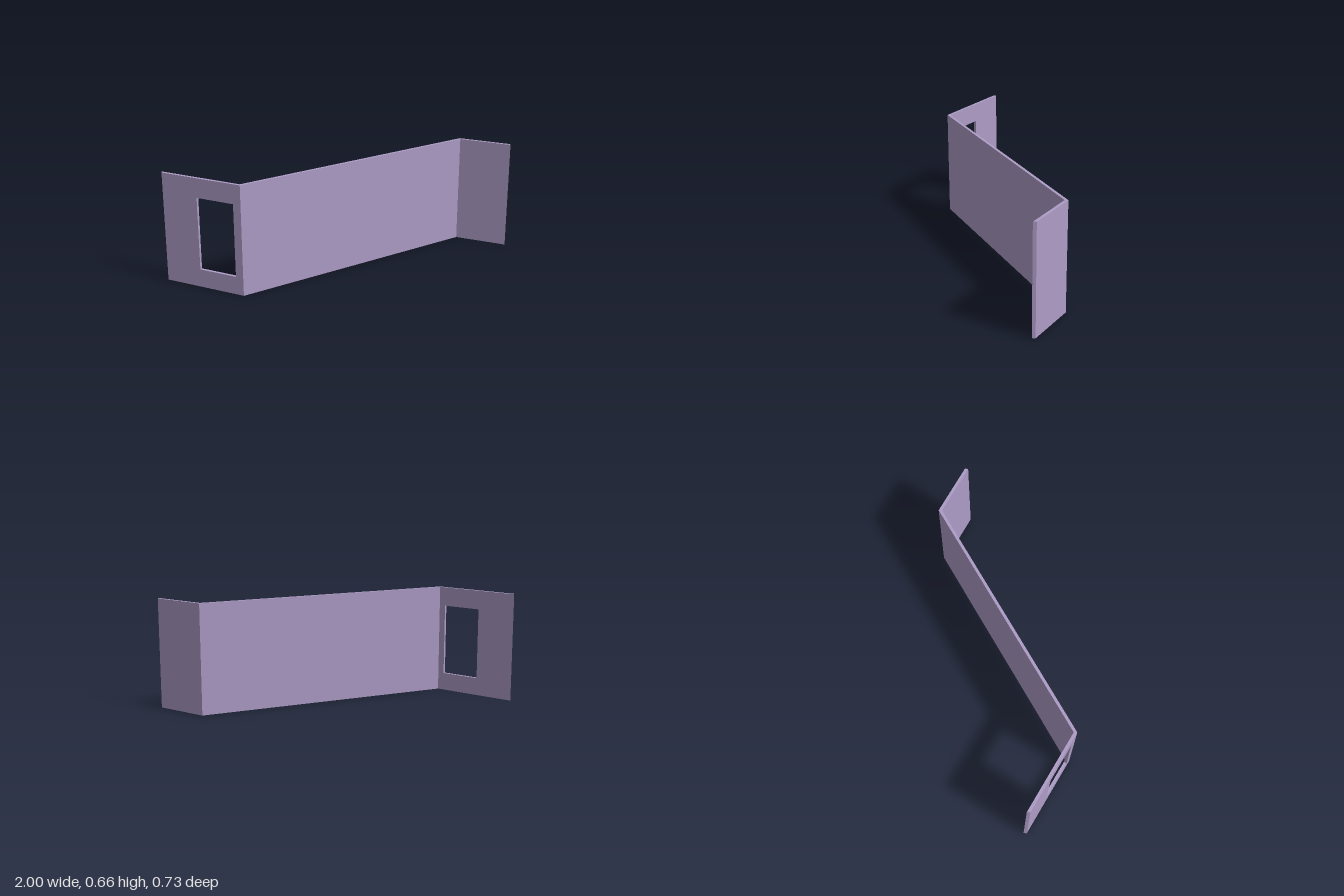
import * as THREE from 'three';

const HEIGHT = 0.659;
// Step from the back line to the front line, shared by mitres and end cuts
const STEP = new THREE.Vector2(-0.01, 0.017);

// Upright wall panel between two plan points (x, z) on its back line
function panel(name, a, b, material, opening) {
  const dir = b.clone().sub(a);
  const length = dir.length();
  dir.normalize();
  const thickness = dir.cross(STEP);
  const skew = dir.dot(STEP);

  const shape = new THREE.Shape([
    new THREE.Vector2(0, 0), new THREE.Vector2(length, 0),
    new THREE.Vector2(length, HEIGHT), new THREE.Vector2(0, HEIGHT),
  ]);
  if (opening) {
    const { u0, u1, y0, y1 } = opening;
    shape.holes.push(new THREE.Path([
      new THREE.Vector2(u0, y0), new THREE.Vector2(u0, y1),
      new THREE.Vector2(u1, y1), new THREE.Vector2(u1, y0),
    ]));
  }
  const geometry = new THREE.ExtrudeGeometry(shape, { depth: thickness, bevelEnabled: false });

  // Slant both ends so neighbouring panels meet in a mitre
  const p = geometry.attributes.position;
  for (let i = 0; i < p.count; i++) {
    const u = p.getX(i);
    const atEnd = u < 1e-4 || u > length - 1e-4;
    if (atEnd && p.getZ(i) > thickness / 2) p.setX(i, u + skew);
  }
  geometry.computeVertexNormals();

  const mesh = new THREE.Mesh(geometry, material);
  mesh.name = name;
  mesh.position.set(a.x, 0, a.y);
  mesh.rotation.y = Math.atan2(-dir.y, dir.x);
  return mesh;
}

export function createModel() {
  const group = new THREE.Group();
  group.name = 'foldedWall';
  const material = new THREE.MeshStandardMaterial({ color: 0xad9cc6 });

  // Plan corners of the back line, from the right end to the left end
  const [a, b, c, d] = [[-0.99, -0.366], [-0.735, 0.078], [0.83, 0.078], [1, 0.349]]
    .map(([x, z]) => new THREE.Vector2(x, z));

  const windowOpening = { u0: 0.237, u1: 0.474, y0: 0.108, y1: 0.543 };
  group.add(
    panel('rightWallWithWindow', a, b, material, windowOpening),
    panel('mainWall', b, c, material),
    panel('leftWall', c, d, material),
  );
  return group;
}
